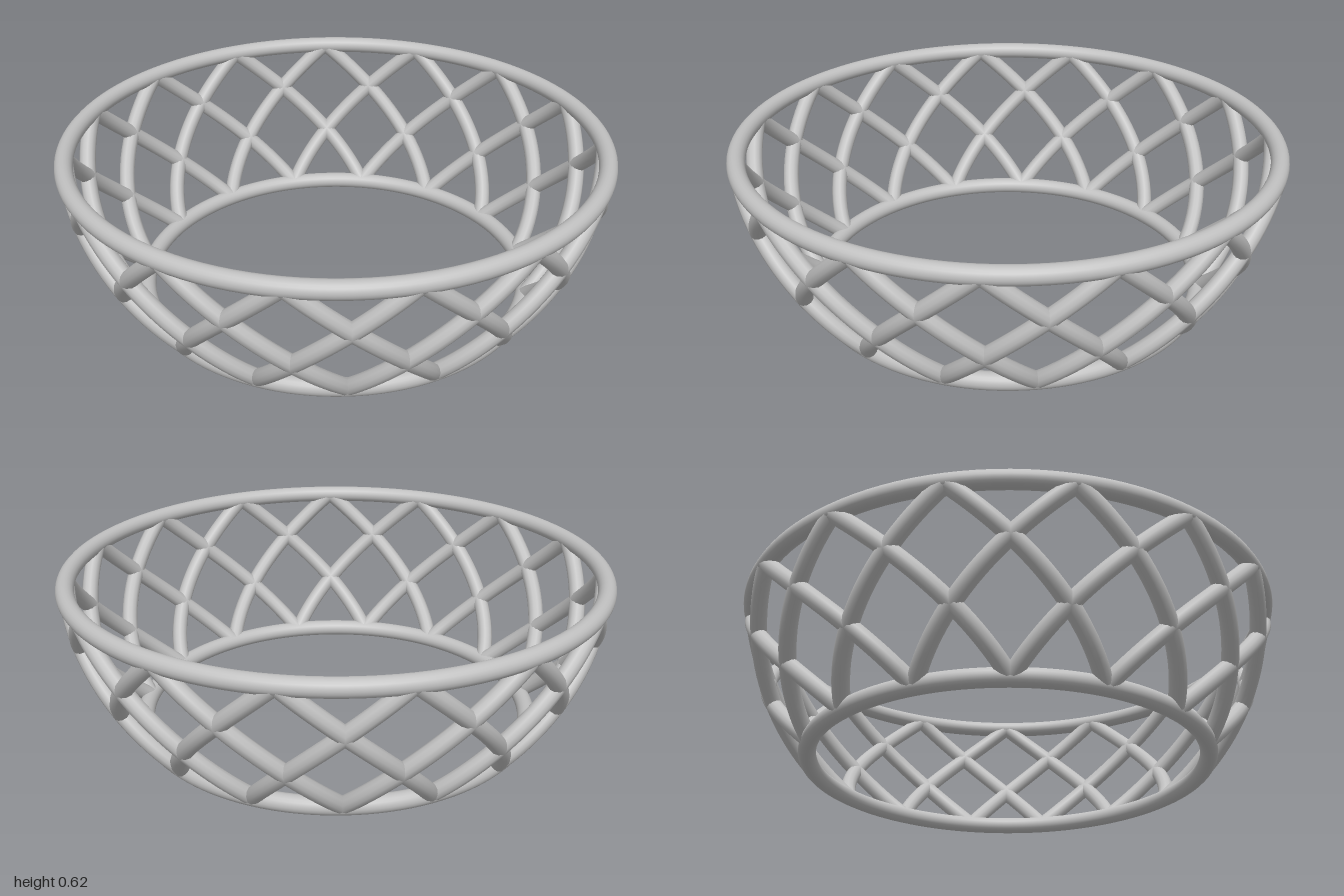
import * as THREE from 'three';

const COUNT = 15;          // strands in each direction
const TUBE = 0.032;        // ring thickness (radius)
const Y0 = 0.032, Y1 = 0.583, R0 = 0.725, R1 = 0.968;
// centre height and radius of the sphere through both rings
const C = (R1 * R1 - R0 * R0 + Y1 * Y1 - Y0 * Y0) / (2 * (Y1 - Y0));
const R2 = R0 * R0 + (Y0 - C) ** 2;

export function createModel() {
  const model = new THREE.Group();
  model.name = 'latticeBasket';
  const gray = new THREE.MeshStandardMaterial({ color: 0xc0c0c0 });
  gray.name = 'lightGray';

  // Round rim and base hoops
  const ring = (name, radius, y) => {
    const mesh = new THREE.Mesh(new THREE.TorusGeometry(radius, TUBE, 20, 120), gray);
    mesh.name = name;
    mesh.rotation.x = Math.PI / 2;
    mesh.position.y = y;
    model.add(mesh);
  };
  ring('rimRing', R1, Y1);
  ring('baseRing', R0, Y0);

  // One strand climbs the bowl while sweeping 36 degrees sideways
  const strandGeometry = (dir) => {
    const points = [];
    for (let i = 0; i <= 12; i++) {
      const t = i / 12;
      const y = Y0 + (Y1 - Y0) * t + 0.008 * Math.sin(Math.PI * t);
      const r = Math.sqrt(R2 - (y - C) ** 2);
      const a = dir * t * Math.PI / 5;
      points.push(new THREE.Vector3(r * Math.cos(a), y, r * Math.sin(a)));
    }
    return new THREE.TubeGeometry(new THREE.CatmullRomCurve3(points), 24, 0.03, 12);
  };

  // Two opposite families of strands form the lattice
  for (const dir of [1, -1]) {
    const geometry = strandGeometry(dir);
    const family = new THREE.Group();
    family.name = dir > 0 ? 'clockwiseStrands' : 'counterStrands';
    for (let i = 0; i < COUNT; i++) {
      const strand = new THREE.Mesh(geometry, gray);
      strand.name = 'strand';
      strand.rotation.y = (i / COUNT) * Math.PI * 2;
      family.add(strand);
    }
    model.add(family);
  }
  return model;
}
